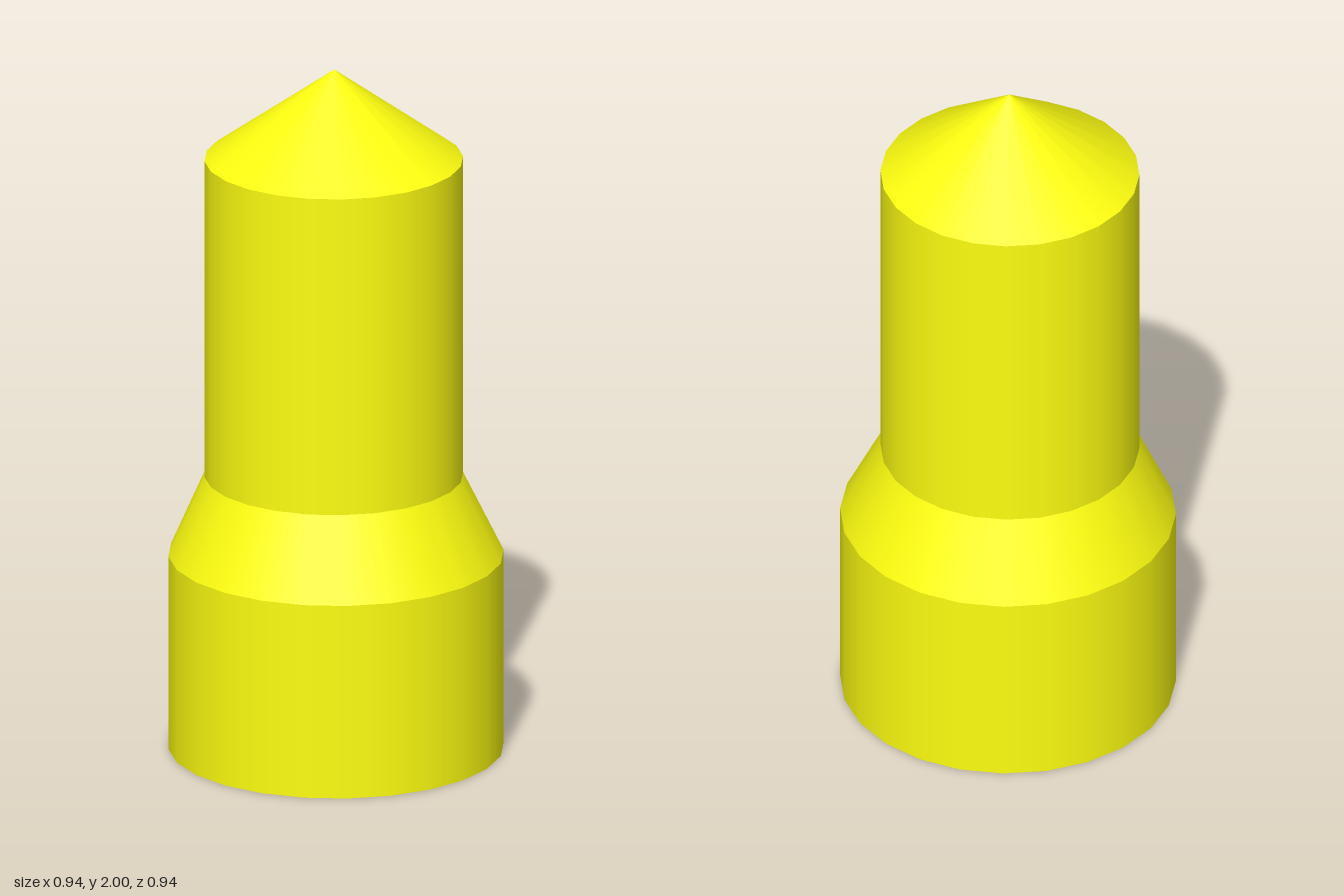
import * as THREE from 'three';

const SIDES = 24;
const OFFSET = -0.008; // the upper shaft sits slightly off the base axis

export function createModel() {
  const group = new THREE.Group();
  const material = new THREE.MeshStandardMaterial({ color: 0xffff10 });

  // Smooth round section between two heights, leaning from one axis offset to another
  function section(name, y0, y1, r0, r1, off0, off1, open = true) {
    const h = y1 - y0;
    const geometry = new THREE.CylinderGeometry(r1, r0, h, SIDES, 1, open);
    const p = geometry.attributes.position;
    for (let i = 0; i < p.count; i++) {
      const off = p.getY(i) > 0 ? off1 : off0;
      p.setXYZ(i, p.getX(i) + off, p.getY(i) + y0 + h / 2, p.getZ(i) + off);
    }
    const mesh = new THREE.Mesh(geometry, material);
    mesh.name = name;
    group.add(mesh);
  }

  // Wide base with closed underside, sloping shoulder, shaft and pointed tip
  section('base', 0, 0.57, 0.472, 0.472, 0, 0, false);
  section('shoulder', 0.57, 0.8, 0.472, 0.364, 0, OFFSET);
  section('shaft', 0.8, 1.735, 0.364, 0.364, OFFSET, OFFSET);
  section('tip', 1.735, 2, 0.364, 0, OFFSET, -0.006);

  return group;
}
